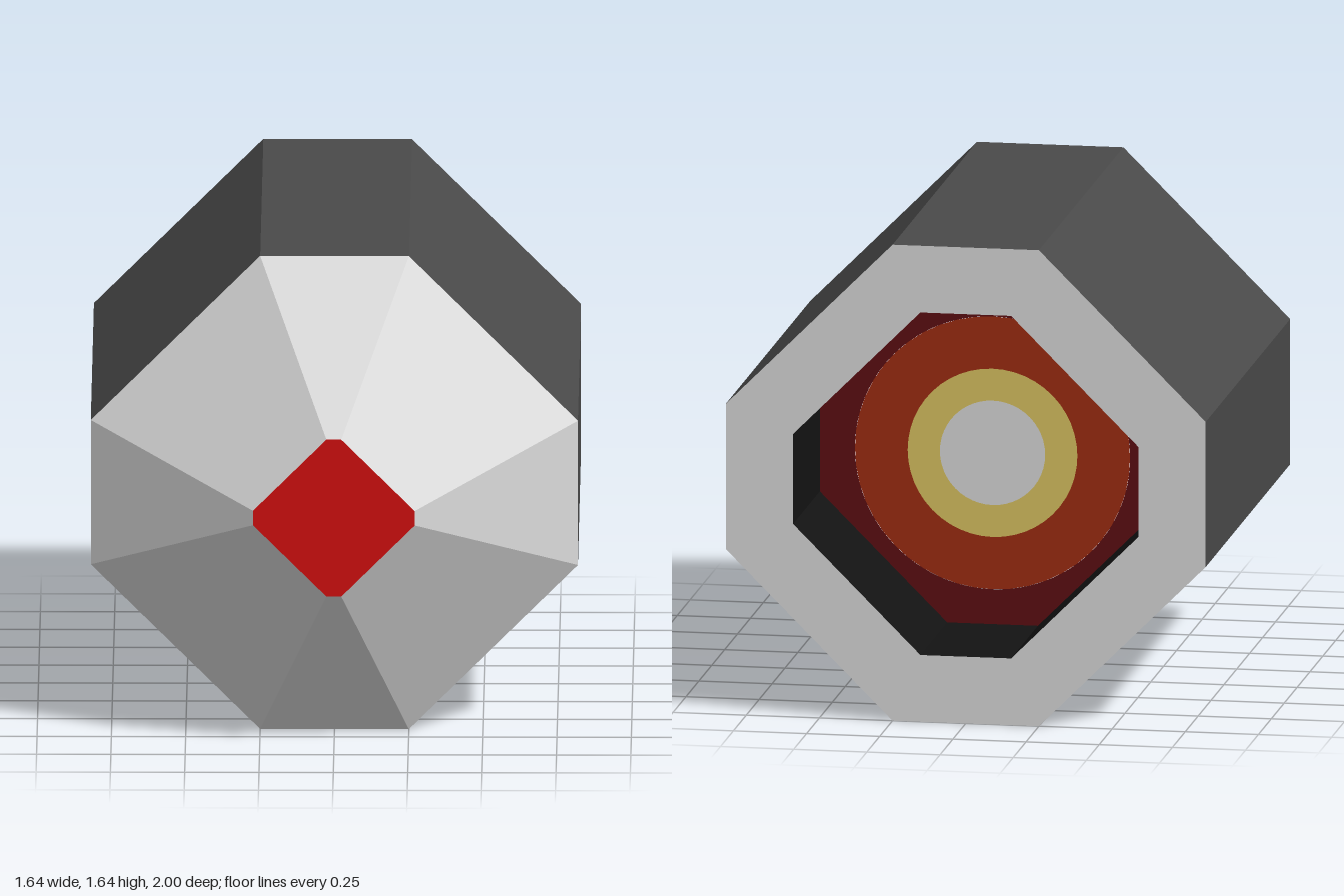
import * as THREE from 'three';

const CENTRE_Y = 0.82;

const mat = (name, color) => {
  const m = new THREE.MeshStandardMaterial({ color });
  m.name = name;
  return m;
};

// Eight corners of a chamfered square, counter-clockwise: half width and half flat
const octagon = (w, f) => [
  [w, -f], [w, f], [f, w], [-f, w], [-w, f], [-w, -f], [-f, -w], [f, -w],
].map(([x, y]) => new THREE.Vector2(x, y));

// Flat-faced wall between two octagons; faces outward when zA < zB
function loft(a, zA, b, zB) {
  const pos = [];
  for (let i = 0; i < a.length; i++) {
    const j = (i + 1) % a.length;
    const p = [a[i].x, a[i].y, zA], q = [a[j].x, a[j].y, zA];
    const r = [b[j].x, b[j].y, zB], s = [b[i].x, b[i].y, zB];
    pos.push(...p, ...q, ...r, ...p, ...r, ...s);
  }
  const g = new THREE.BufferGeometry();
  g.setAttribute('position', new THREE.Float32BufferAttribute(pos, 3));
  g.computeVertexNormals();
  return g;
}

// Flat plate, optionally pierced by a hole
function plate(outline, hole) {
  const shape = new THREE.Shape(outline);
  if (hole) shape.holes.push(new THREE.Path(hole));
  return new THREE.ShapeGeometry(shape);
}

export function createModel() {
  const darkGrey = mat('dark grey casing', 0x4a4a4a);
  const paleGrey = mat('pale grey', 0xdcdcdc);
  const red = mat('red tip', 0xd50e0e);
  const black = mat('black lining', 0x131313);
  const maroon = mat('maroon', 0x5e0e12);
  const rust = mat('rust orange', 0xa02c11);
  const yellow = mat('glow yellow', 0xdcc562);

  const group = new THREE.Group();
  group.name = 'octagonalThruster';
  const add = (name, geometry, material, z = 0, facesBack = false) => {
    const mesh = new THREE.Mesh(geometry, material);
    mesh.name = name;
    mesh.position.set(0, CENTRE_Y, z);
    if (facesBack) mesh.rotation.y = Math.PI;
    group.add(mesh);
  };

  const outer = octagon(0.82, 0.25);
  const inner = octagon(0.59, 0.155);
  const tip = octagon(0.272, 0.025);
  const back = -1, shoulder = 0.64, front = 1, floor = -0.48;

  // Casing and tapered nose
  add('casing', loft(outer, back, outer, shoulder), darkGrey);
  add('nose', loft(outer, shoulder, tip, front), paleGrey);
  add('noseTip', plate(tip), red, front);

  // Rear rim and recess
  add('rearRim', plate(outer, inner), paleGrey, back, true);
  add('recessWall', loft(inner, floor, inner, back), black);

  // Concentric glow rings on the recess floor
  const circle = new THREE.Path().absarc(0, 0, 0.47, 0, Math.PI * 2).getPoints(48);
  circle.pop();
  add('recessFloor', plate(inner, circle), maroon, floor, true);
  add('outerGlowRing', new THREE.RingGeometry(0.29, 0.47, 48), rust, floor, true);
  add('innerGlowRing', new THREE.RingGeometry(0.18, 0.29, 48), yellow, floor, true);
  add('glowCore', new THREE.CircleGeometry(0.18, 48), paleGrey, floor, true);

  return group;
}
